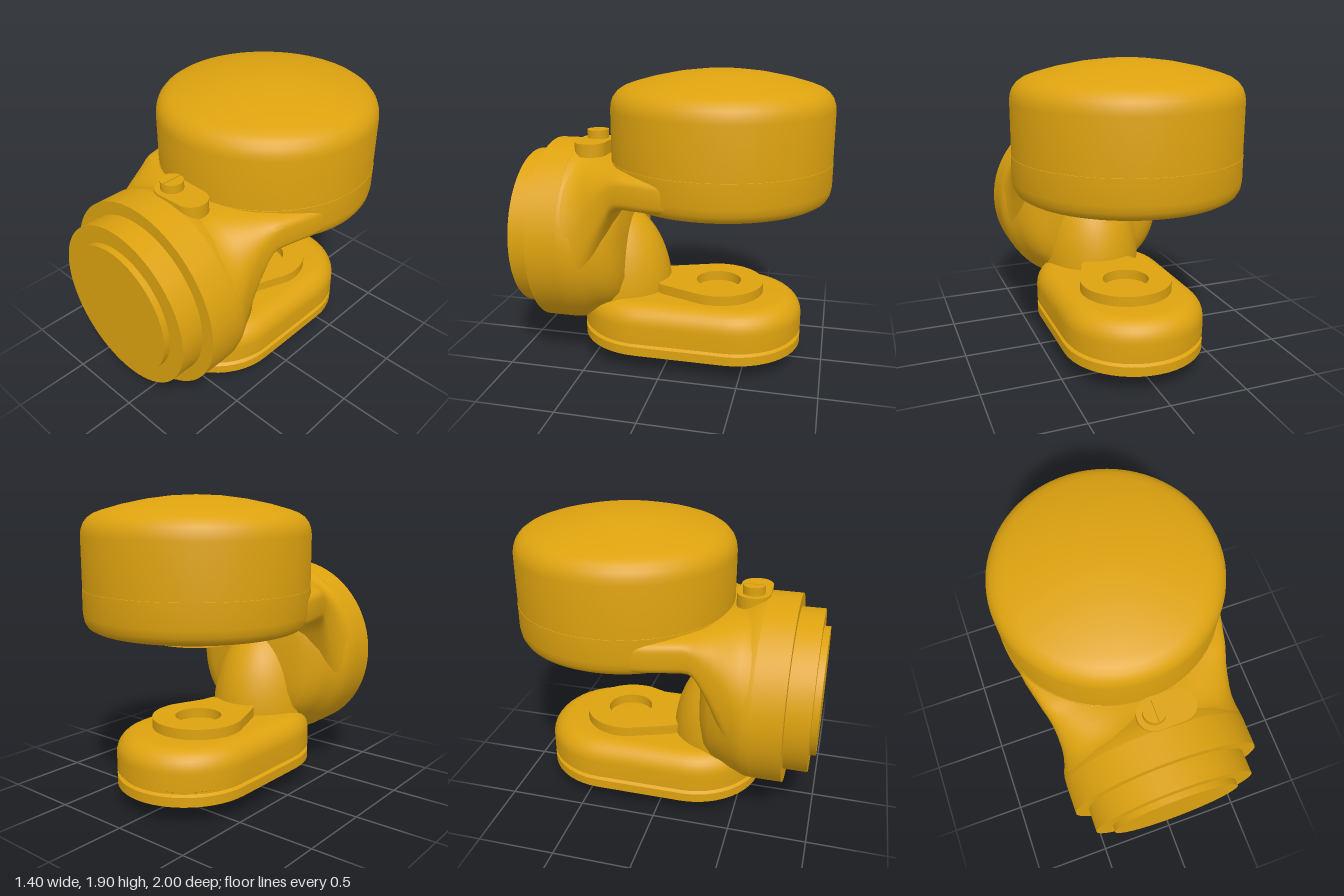
import * as THREE from 'three';
import { toCreasedNormals } from 'three/addons/utils/BufferGeometryUtils.js';

const material = new THREE.MeshStandardMaterial({ color: 0xdda20f });

function add(group, name, geometry, crease = 0.6) {
  const mesh = new THREE.Mesh(toCreasedNormals(geometry, crease), material);
  mesh.name = name;
  group.add(mesh);
  return mesh;
}

// Skin between rings of equal length; rings run counter-clockwise seen from the end of the loft
function loft(rings) {
  const n = rings[0].length, index = [];
  for (let i = 0; i < rings.length - 1; i++) {
    for (let j = 0; j < n; j++) {
      const k = (j + 1) % n;
      const a = i * n + j, b = i * n + k, c = b + n, d = a + n;
      index.push(a, b, c, a, c, d);
    }
  }
  const g = new THREE.BufferGeometry();
  g.setAttribute('position', new THREE.Float32BufferAttribute(rings.flat(2), 3));
  g.setIndex(index);
  return g;
}

const pointRing = (n, x, y, z) => Array.from({ length: n }, () => [x, y, z]);

// Superellipse sections [z, halfWidth, bottom, top, exponent], closed at both ends
function sectionLoft(sections) {
  const n = 72;
  const rings = sections.map(([z, w, y0, y1, e]) => Array.from({ length: n }, (_, i) => {
    const a = (i / n) * Math.PI * 2, c = Math.cos(a), s = Math.sin(a);
    const p = (v) => Math.sign(v) * Math.abs(v) ** (2 / e);
    return [w * p(c), (y0 + y1) / 2 + (y1 - y0) / 2 * p(s), z];
  }));
  const cap = ([z, , y0, y1]) => pointRing(n, 0, (y0 + y1) / 2, z);
  return loft([cap(sections[0]), ...rings, cap(sections[sections.length - 1])]);
}

const lathe = (points) =>
  new THREE.LatheGeometry(points.map(([r, y]) => new THREE.Vector2(r, y)), 72);

// Plan outline of the lower arm: two half circles joined by straight sides
function lobeRing(inset, y) {
  const r = 0.45 - inset, back = -0.4, front = 0.17, arc = 24, side = 10, ring = [];
  for (const [start, z0, z1] of [[0, back, front], [Math.PI, front, back]]) {
    for (let i = 0; i <= arc; i++) {
      const a = start + (i / arc) * Math.PI;
      ring.push([r * Math.cos(a), y, z0 - r * Math.sin(a)]);
    }
    for (let i = 1; i < side; i++) {
      ring.push([r * Math.cos(start + Math.PI), y, z0 + (z1 - z0) * i / side]);
    }
  }
  return ring;
}

// Flat plate from a plan shape (shape y is -z), standing on y
function plate(shape, y, height) {
  const g = new THREE.ExtrudeGeometry(shape, { depth: height, bevelEnabled: false, curveSegments: 32 });
  return g.rotateX(-Math.PI / 2).translate(0, y, 0);
}

export function createModel() {
  const model = new THREE.Group();
  model.name = 'camHousing';

  // Upper drum with domed lid, lower band and underside discs
  const drum = new THREE.Group();
  drum.name = 'upperDrum';
  drum.position.z = -0.3;
  model.add(drum);
  add(drum, 'drumLid', lathe([[0.698, 1.35], [0.698, 1.67], [0.693, 1.705], [0.68, 1.74], [0.655, 1.772],
    [0.62, 1.796], [0.57, 1.815], [0.45, 1.849], [0.3, 1.88], [0.15, 1.899], [0, 1.905]]));
  add(drum, 'drumBand', lathe([[0, 1.1], [0.61, 1.1], [0.645, 1.107], [0.675, 1.125], [0.692, 1.155],
    [0.7, 1.2], [0.7, 1.35], [0.69, 1.355]]));
  add(drum, 'undersidePlate', lathe([[0, 1.08], [0.53, 1.08], [0.53, 1.12]]));
  add(drum, 'undersideBoss', lathe([[0, 1.02], [0.295, 1.02], [0.295, 1.1]]));

  // Stepped front barrel
  add(model, 'frontBarrel', lathe([[0.5, 0.6], [0.61, 0.615], [0.61, 0.81], [0.525, 0.81], [0.525, 0.96],
    [0.415, 0.96], [0.415, 1], [0, 1]]).rotateX(Math.PI / 2).translate(0, 0.82, 0));

  // Rounded body behind the barrel
  add(model, 'rearBody', sectionLoft([
    [0.27, 0.36, 0.5, 1.15, 2.8], [0.3, 0.43, 0.4, 1.24, 2.6], [0.35, 0.49, 0.34, 1.3, 2.4],
    [0.42, 0.53, 0.3, 1.35, 2.2], [0.48, 0.565, 0.26, 1.375, 2.1], [0.53, 0.598, 0.235, 1.4, 2],
    [0.57, 0.608, 0.215, 1.42, 2], [0.62, 0.61, 0.21, 1.43, 2]]), 0.8);

  // Upper arm, bending from the drum down into the flanks of the body
  add(model, 'upperArm', sectionLoft([
    [-0.3, 0.66, 1.1, 1.35, 5], [-0.1, 0.665, 1.1, 1.35, 5], [0, 0.65, 1.1, 1.35, 5],
    [0.1, 0.625, 1.1, 1.35, 5], [0.2, 0.6, 1.1, 1.35, 5], [0.24, 0.588, 1.085, 1.35, 4.5],
    [0.27, 0.58, 1.05, 1.35, 4], [0.3, 0.572, 0.98, 1.352, 3.8], [0.36, 0.564, 0.82, 1.357, 3.5],
    [0.43, 0.563, 0.6, 1.362, 3.1], [0.48, 0.572, 0.42, 1.37, 2.7], [0.53, 0.59, 0.3, 1.385, 2.3],
    [0.57, 0.604, 0.24, 1.405, 2.1], [0.61, 0.608, 0.215, 1.425, 2]]), 0.8);

  // Elbow dome between body and lower arm: rear upper quarter of an ellipsoid
  add(model, 'elbowDome', new THREE.SphereGeometry(1, 48, 24, Math.PI, Math.PI, 0, Math.PI / 2)
    .scale(0.35, 0.6, 0.42).translate(0, 0.42, 0.45));

  // Lower arm: rounded upper half
  const lobeTop = [[0.02, 0.19], [0.02, 0.205], [0, 0.215], [0, 0.32]];
  for (let i = 1; i <= 8; i++) {
    const a = (i / 8) * Math.PI / 2;
    lobeTop.push([0.13 * (1 - Math.cos(a)), 0.32 + 0.13 * Math.sin(a)]);
  }
  const topRings = lobeTop.map(([inset, y]) => lobeRing(inset, y));
  const count = topRings[0].length;
  add(model, 'lowerArm', loft([...topRings, pointRing(count, 0, 0.45, -0.12)]));

  // Lower cover: bowed underside growing out from a round socket
  const hole = { z: -0.7, r: 0.08 };
  const bow = (x, z) => {
    const dz = (z + 0.2) / (z > -0.2 ? 0.82 : 0.65);
    return 0.12 * Math.min(1, (x / 0.45) ** 2 + dz * dz);
  };
  const rim = lobeRing(0, 0.12);
  const socket = rim.map(([x, , z]) => {
    const d = Math.hypot(x, z - hole.z);
    return [x / d * hole.r, 0, hole.z + (z - hole.z) / d * hole.r];
  });
  const under = Array.from({ length: 13 }, (_, i) => rim.map(([x, , z], j) => {
    const px = THREE.MathUtils.lerp(socket[j][0], x, i / 12);
    const pz = THREE.MathUtils.lerp(socket[j][2], z, i / 12);
    return [px, bow(px, pz), pz];
  }));
  add(model, 'lowerCover', loft([
    pointRing(count, 0, 0.17, hole.z), socket.map(([x, , z]) => [x, 0.17, z]),
    ...under, lobeRing(0, 0.18), lobeRing(0.02, 0.192), lobeRing(0.03, 0.2)]));

  // Keyhole pad on the lower arm: round back, tapering to a flat front
  const pad = new THREE.Shape();
  pad.moveTo(-0.15, -0.09);
  pad.lineTo(0.15, -0.09);
  pad.lineTo(0.18, -0.05);
  pad.absarc(0, 0.3, 0.295, -0.25, Math.PI + 0.25, false);
  pad.lineTo(-0.18, -0.05);
  pad.holes.push(new THREE.Path().absarc(0, 0.3, 0.148, 0, Math.PI * 2, true));
  add(model, 'lowerPad', plate(pad, 0.44, 0.075));

  // Latch plate and slotted screw on top of the body
  const latch = new THREE.Shape();
  latch.absarc(0.16, 0, 0.1, -Math.PI / 2, Math.PI / 2, false);
  latch.absarc(0, 0, 0.105, Math.PI / 2, Math.PI * 1.5, false);
  add(model, 'latchPlate', plate(latch, 1.36, 0.085)).position.z = 0.52;
  const screw = new THREE.Group();
  screw.name = 'latchScrew';
  screw.position.z = 0.52;
  model.add(screw);
  add(screw, 'screwBody', new THREE.CylinderGeometry(0.07, 0.07, 0.06, 40).translate(0, 1.45, 0));
  for (const turn of [0, Math.PI]) {
    const half = new THREE.Shape();
    half.absarc(0, 0, 0.07, turn - 1.51, turn + 1.51, false);
    add(screw, 'screwHeadHalf', plate(half, 1.47, 0.03));
  }
  return model;
}
